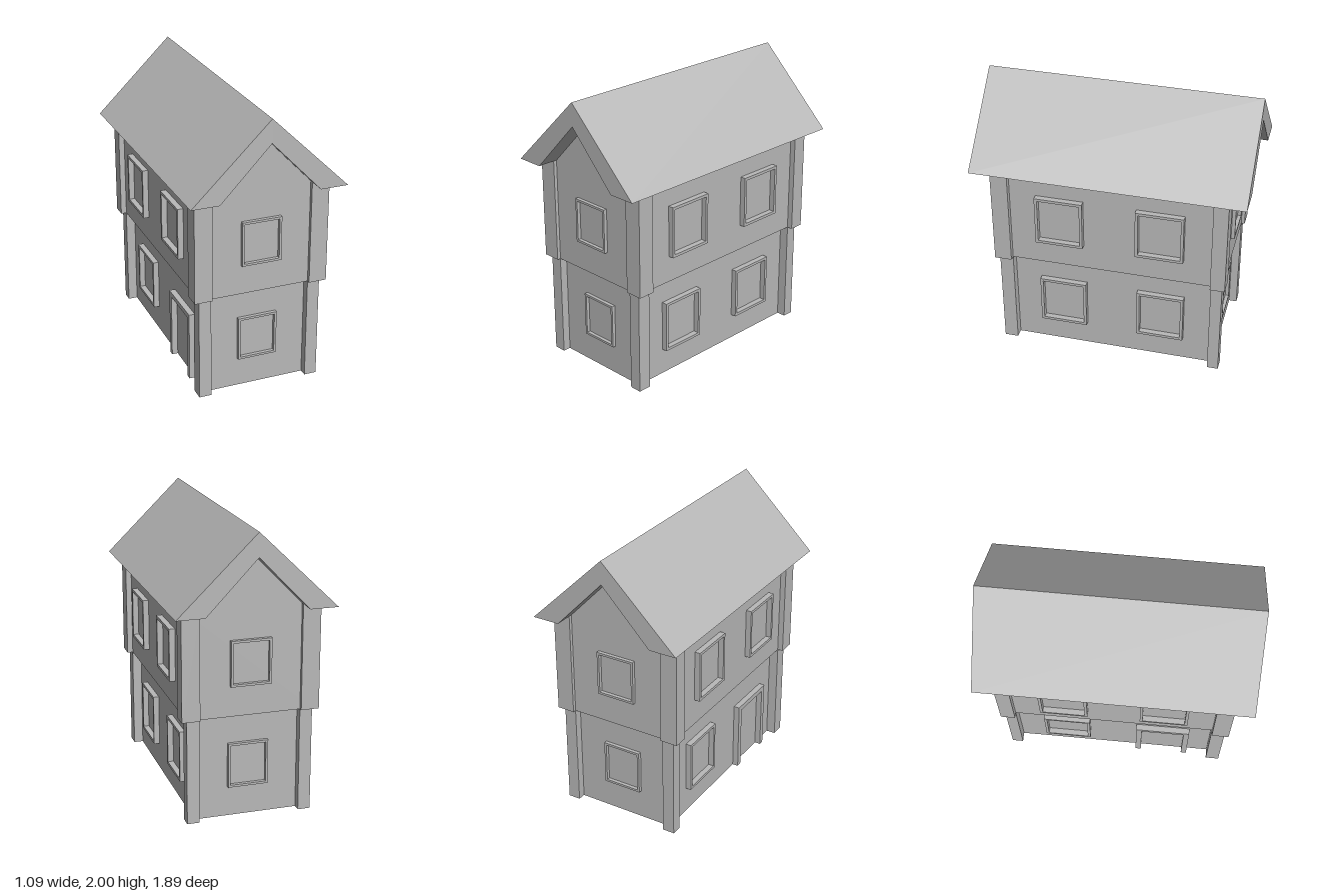
import * as THREE from 'three';

export function createModel() {
  const house = new THREE.Group();
  house.name = 'house';
  const grey = new THREE.MeshStandardMaterial({ color: 0xb8b8b8 });
  grey.name = 'plain grey';

  const add = (name, geometry) => {
    const mesh = new THREE.Mesh(geometry, grey);
    mesh.name = name;
    house.add(mesh);
    return mesh;
  };

  // box given by its limits on each axis
  const block = (name, x0, x1, y0, y1, z0, z1) =>
    add(name, new THREE.BoxGeometry(x1 - x0, y1 - y0, z1 - z0))
      .position.set((x0 + x1) / 2, (y0 + y1) / 2, (z0 + z1) / 2);

  const outline = (points) => new THREE.Shape(points.map(([x, y]) => new THREE.Vector2(x, y)));

  // profile in the xy plane, extruded along z about the centre
  const prism = (name, points, halfDepth) =>
    add(name, new THREE.ExtrudeGeometry(outline(points), { depth: 2 * halfDepth, bevelEnabled: false })
      .translate(0, 0, -halfDepth));

  // hollow square window frame, built facing +z with its back on z = 0
  const frameGeometry = (w, h, band, depth) => {
    const rect = (a, b) => [[-a, -b], [a, -b], [a, b], [-a, b]];
    const shape = outline(rect(w / 2, h / 2));
    shape.holes.push(outline(rect(w / 2 - band, h / 2 - band)));
    return new THREE.ExtrudeGeometry(shape, { depth, bevelEnabled: false });
  };

  // walls: the upper storey overhangs the lower one
  const FLOOR = 0.735, EAVE = 1.47;
  const lower = { x: 0.37, z: 0.74 }, upper = { x: 0.435, z: 0.795 };
  block('lowerWalls', -lower.x, lower.x, 0, FLOOR, -lower.z, lower.z);
  prism('upperWalls', [
    [-upper.x, FLOOR], [upper.x, FLOOR], [upper.x, EAVE], [0.35, EAVE],
    [0, 1.836], [-0.35, EAVE], [-upper.x, EAVE],
  ], upper.z);

  // roof with thick overhanging gable ends
  prism('roof', [
    [-0.545, EAVE], [-0.35, EAVE], [0, 1.836], [0.35, EAVE], [0.545, EAVE], [0, 2],
  ], 0.945);

  // corner posts on both storeys
  for (const [name, y0, y1, x, z] of [
    ['lowerPost', 0, FLOOR, 0.436, 0.796],
    ['upperPost', FLOOR, EAVE, 0.475, 0.82],
  ]) {
    for (const [x0, x1] of [[-x, -0.35], [0.35, x]]) {
      block(name, x0, x1, y0, y1, 0.7, z);
      block(name, x0, x1, y0, y1, -z, -0.717);
    }
  }

  // windows: one per gable end and two per long side, on each storey
  const endFrame = frameGeometry(0.28, 0.315, 0.016, 0.025);
  const sideFrame = frameGeometry(0.335, 0.365, 0.02, 0.04);
  for (const [wall, y] of [[lower, 0.37], [upper, 1.104]]) {
    for (const s of [1, -1]) {
      const end = add('endWindowFrame', endFrame);
      end.position.set(0, y, s * wall.z);
      end.rotation.y = s > 0 ? 0 : Math.PI;

      for (const z of [0.347, -0.357]) {
        if (s < 0 && wall === lower && z > 0) continue; // the door stands here
        const side = add('sideWindowFrame', sideFrame);
        side.position.set(s * wall.x, y, z);
        side.rotation.y = s * Math.PI / 2;
      }
    }
  }

  // door surround on the model's right side
  const door = outline([
    [-0.195, 0], [-0.155, 0], [-0.155, 0.465], [0.155, 0.465],
    [0.155, 0], [0.195, 0], [0.195, 0.5], [-0.195, 0.5],
  ]);
  const doorFrame = add('doorFrame', new THREE.ExtrudeGeometry(door, { depth: 0.042, bevelEnabled: false }));
  doorFrame.position.set(-lower.x, 0, 0.35);
  doorFrame.rotation.y = -Math.PI / 2;

  return house;
}
